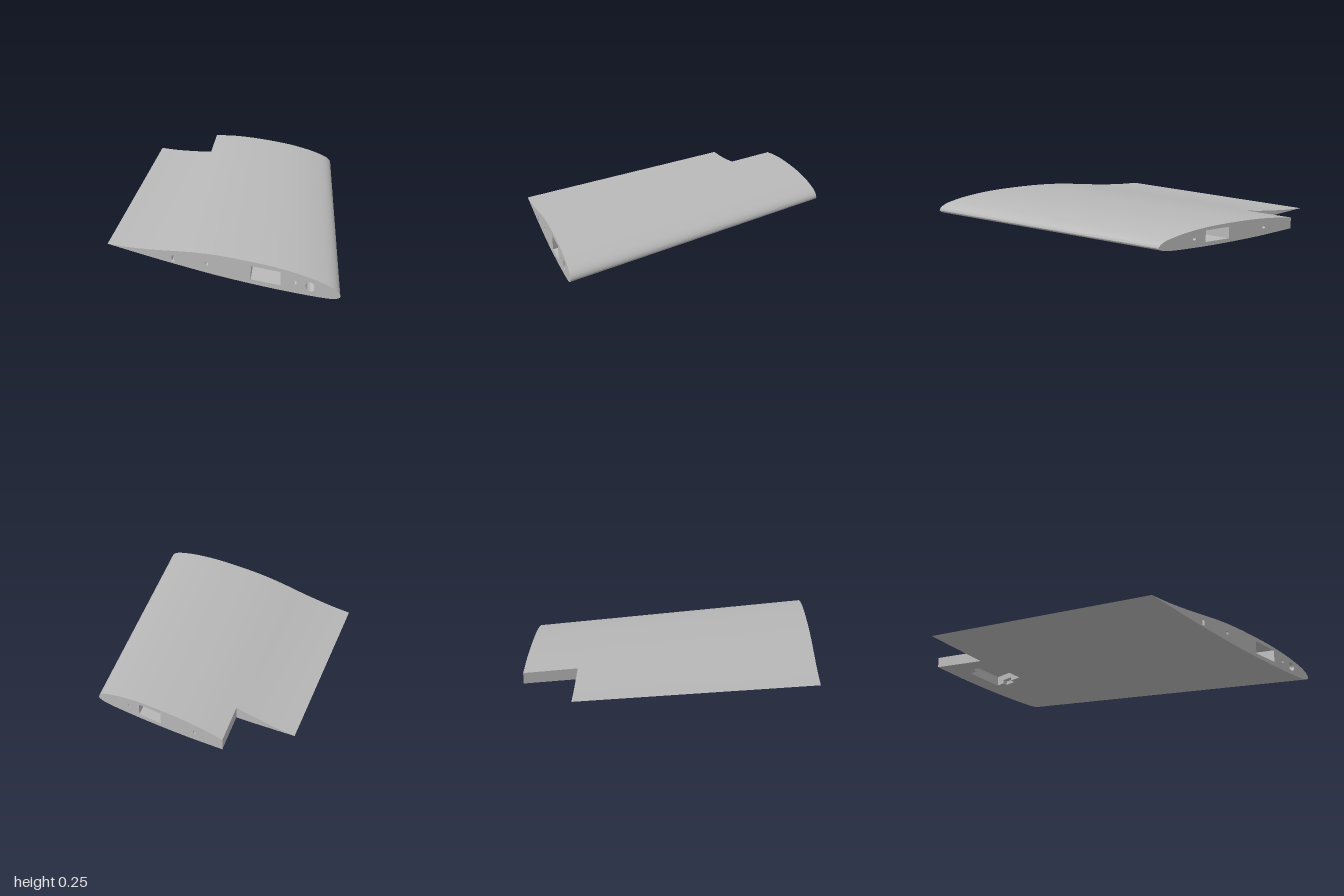
import * as THREE from 'three';
import { toCreasedNormals } from 'three/addons/utils/BufferGeometryUtils.js';

const HALF = 0.915;        // half span
const NOTCH_Z = -0.595;    // where the trailing edge is cut away
const lerp = THREE.MathUtils.lerp;
const spanT = z => (HALF - z) / (2 * HALF);
const leadX = t => lerp(1, 0.22, t);
const trailX = t => lerp(-0.54, -1.097, t);

// Front airfoil as [x, y], nose to tail
const UPPER = [[1, 0.035], [0.985, 0.06], [0.95, 0.08], [0.87, 0.102], [0.8, 0.116], [0.6, 0.138], [0.33, 0.144],
  [0.13, 0.137], [-0.04, 0.119], [-0.2, 0.098], [-0.4, 0.08], [-0.54, 0.075]];
const LOWER = [[1, 0.035], [0.985, 0.02], [0.95, 0.01], [0.87, 0.004], [0.75, 0.001], [0.6, 0], [0.4, 0.004],
  [0.2, 0.012], [0, 0.026], [-0.2, 0.042], [-0.4, 0.061], [-0.54, 0.075]];
const chordOf = x => (1 - x) / 1.54;

// Smooth height along the chord (Hermite over the square root of the chord fraction)
function makeProfile(points) {
  const p = points.map(([x, y]) => [Math.sqrt(chordOf(x)), y]);
  const slope = i => {
    const a = p[Math.max(i - 1, 0)], b = p[Math.min(i + 1, p.length - 1)];
    return (b[1] - a[1]) / (b[0] - a[0]);
  };
  return c => {
    const s = Math.sqrt(THREE.MathUtils.clamp(c, 0, 1));
    let i = 0;
    while (i < p.length - 2 && s > p[i + 1][0]) i++;
    const h = p[i + 1][0] - p[i][0], u = (s - p[i][0]) / h, u2 = u * u, u3 = u2 * u;
    return (2 * u3 - 3 * u2 + 1) * p[i][1] + (u3 - 2 * u2 + u) * h * slope(i)
      + (3 * u2 - 2 * u3) * p[i + 1][1] + (u3 - u2) * h * slope(i + 1);
  };
}
const upper = makeProfile(UPPER), lower = makeProfile(LOWER);

// Height of a front-section point carried along the span: rise, taper, slight twist
const liftY = (c, y, t) => 0.113 * t + y * (1 - 0.145 * t) + 0.02 * t * c;
const place = (x, y, t) => {
  const c = chordOf(x);
  return new THREE.Vector3(lerp(leadX(t), trailX(t), c), liftY(c, y, t), HALF - 2 * HALF * t);
};
function surface(profile, x, z) {
  const t = spanT(z), c = (leadX(t) - x) / (leadX(t) - trailX(t));
  return new THREE.Vector3(x, liftY(c, profile(c), t), z);
}

// Chordwise stations, lined up with the edges of the underside pocket
function stationsX(z, cut) {
  const t = spanT(z);
  const end = cut ? lerp(-0.59, -0.705, (NOTCH_Z - z) / (NOTCH_Z + HALF)) : trailX(t);
  const xs = [];
  for (let i = 0; i <= 24; i++) xs.push(lerp(leadX(t), -0.24, (i / 24) ** 2));
  for (let i = 0; i <= 6; i++) xs.push(lerp(-0.27, -0.51, i / 6));
  for (let i = 0; i <= 8; i++) xs.push(lerp(-0.535, end, i / 8));
  return xs;
}

// Pocket depth: deep box with a shallow lug recess on each side
function pocketDepth(x, z) {
  if (x < -0.27 && x > -0.51 && z < -0.57 && z > -0.8) return 0.065;
  if (x < -0.24 && x > -0.535 && z < -0.66 && z > -0.74) return 0.025;
  return 0;
}

class Surface {
  constructor() { this.pos = []; }
  quad(a, b, c, d) {
    for (const v of [a, b, c, a, c, d]) this.pos.push(v.x, v.y, v.z);
  }
  build(crease) {
    const g = new THREE.BufferGeometry();
    g.setAttribute('position', new THREE.Float32BufferAttribute(this.pos, 3));
    return toCreasedNormals(g, crease);
  }
}

export function createModel() {
  const group = new THREE.Group();
  const grey = new THREE.MeshStandardMaterial({ color: 0xb8b8b8, side: THREE.DoubleSide });
  grey.name = 'wing grey';
  const add = (name, geometry) => {
    const mesh = new THREE.Mesh(geometry, grey);
    mesh.name = name;
    group.add(mesh);
  };

  // Spanwise rows: full chord to the notch, shortened chord behind it
  const rows = [];
  const addRow = (z, cut) => rows.push({ z, cut, xs: stationsX(z, cut) });
  for (let i = 0; i <= 12; i++) addRow(lerp(HALF, -0.57, i / 12), false);
  addRow(NOTCH_Z, false);
  for (const z of [NOTCH_Z, -0.66, -0.74, -0.8, -HALF]) addRow(z, true);

  // Skins, pocket and cut trailing edge
  const top = new Surface(), bottom = new Surface(), pocket = new Surface(), edge = new Surface();
  const up = (v, d) => v.clone().setY(v.y + d);
  for (let j = 0; j < rows.length - 1; j++) {
    const r = rows[j], q = rows[j + 1], n = r.xs.length - 1;
    if (r.z === q.z) continue;
    const depth = (i, a, b) => i < 0 || i >= n ? 0 : pocketDepth(
      (a.xs[i] + a.xs[i + 1] + b.xs[i] + b.xs[i + 1]) / 4, (a.z + b.z) / 2);
    for (let i = 0; i < n; i++) {
      const corners = f => [surface(f, r.xs[i], r.z), surface(f, q.xs[i], q.z),
        surface(f, q.xs[i + 1], q.z), surface(f, r.xs[i + 1], r.z)];
      top.quad(...corners(upper));
      const [a, b, c, d] = corners(lower);
      const h = depth(i, r, q), side = depth(i + 1, r, q);
      (h ? pocket : bottom).quad(up(d, h), up(c, h), up(b, h), up(a, h));
      if (h !== side) pocket.quad(up(d, h), up(c, h), up(c, side), up(d, side));
      // wall towards the next row
      let k = j + 1;
      while (k + 1 < rows.length && rows[k].z === rows[k + 1].z) k++;
      const next = k + 1 < rows.length ? depth(i, rows[k], rows[k + 1]) : 0;
      if (h !== next) pocket.quad(up(b, h), up(c, h), up(c, next), up(b, next));
    }
    if (r.cut) {
      const [x0, x1] = [r.xs[n], q.xs[n]];
      edge.quad(surface(lower, x0, r.z), surface(upper, x0, r.z), surface(upper, x1, q.z), surface(lower, x1, q.z));
    }
  }
  const tail = trailX(spanT(NOTCH_Z));
  for (let i = 0; i < 12; i++) {
    const a = lerp(-0.59, tail, i / 12), b = lerp(-0.59, tail, (i + 1) / 12);
    edge.quad(surface(lower, a, NOTCH_Z), surface(lower, b, NOTCH_Z),
      surface(upper, b, NOTCH_Z), surface(upper, a, NOTCH_Z));
  }
  add('upperSkin', top.build(0.7));
  add('lowerSkin', bottom.build(0.7));
  add('undersidePocket', pocket.build(0.5));
  add('trailingNotchWalls', edge.build(0.5));

  // Hole outlines in front-section coordinates
  const circle = (x, y, r) => Array.from({ length: 24 }, (_, i) =>
    [x + r * Math.cos(i * Math.PI / 12), y + r * Math.sin(i * Math.PI / 12)]);
  const box = (x0, x1, y0, y1) => [[x0, y0], [x1, y0], [x1, y1], [x0, y1]];
  const pocketStart = spanT(-0.57), pocketEnd = spanT(-0.8);
  const holes = [
    { name: 'sparTunnel', ring: box(0.44, 0.63, 0.03, 0.115), spans: [[0, 1]] },
    { name: 'frontRodTunnel', ring: circle(0.72, 0.066, 0.012), spans: [[0, 1]] },
    { name: 'cableTunnel', ring: circle(0.15, 0.074, 0.012), spans: [[0, pocketStart], [pocketEnd, 1]] },
    { name: 'locatingPinHole', ring: circle(0.815, 0.059, 0.029), spans: [[0, 0.06]], blind: true },
    { name: 'rearSlot', ring: box(-0.087, -0.07, 0.043, 0.083), spans: [[0, 0.06]], blind: true },
  ];
  const flat = (ring, t) => ring.map(([x, y]) => { const v = place(x, y, t); return new THREE.Vector2(v.x, v.y); });
  for (const { name, ring, spans, blind } of holes) {
    const walls = new Surface();
    for (const [t0, t1] of spans) {
      ring.forEach(([x, y], i) => {
        const [u, v] = ring[(i + 1) % ring.length];
        walls.quad(place(x, y, t0), place(u, v, t0), place(u, v, t1), place(x, y, t1));
      });
    }
    add(name, walls.build(0.6));
    if (blind) {
      const floor = new THREE.ShapeGeometry(new THREE.Shape(flat(ring, spans[0][1])));
      add(name + 'Floor', floor.translate(0, 0, HALF - 2 * HALF * spans[0][1]));
    }
  }

  // End ribs with their openings
  for (const [name, row, t] of [['frontRib', rows[0], 0], ['backRib', rows[rows.length - 1], 1]]) {
    const line = f => row.xs.map(x => { const v = surface(f, x, row.z); return new THREE.Vector2(v.x, v.y); });
    const lowerLine = line(lower).reverse();
    // drop the shared nose point, and the shared tail point where the section is whole
    const outline = [...line(upper), ...lowerLine.slice(row.cut ? 0 : 1, -1)];
    const shape = new THREE.Shape(outline);
    for (const h of holes) if (t === 0 || !h.blind) shape.holes.push(new THREE.Path(flat(h.ring, t)));
    add(name, new THREE.ShapeGeometry(shape).translate(0, 0, row.z));
  }
  return group;
}
